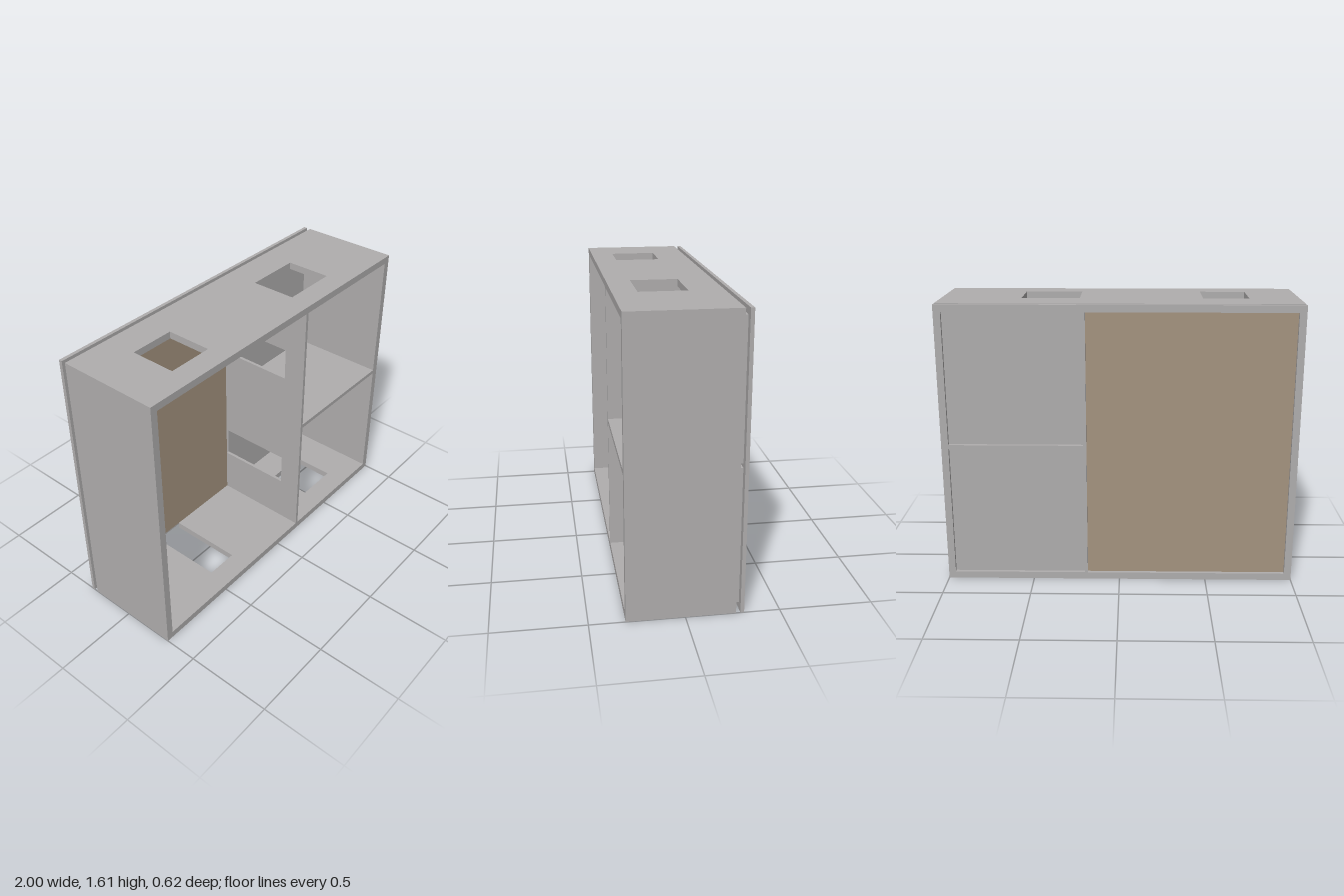
import * as THREE from 'three';

export function createModel() {
  const model = new THREE.Group();
  const grey = new THREE.MeshStandardMaterial({ color: 0xb0aeae });
  grey.name = 'grey board';
  const tan = new THREE.MeshStandardMaterial({ color: 0xa59480 });
  tan.name = 'tan board';

  // Main levels: outer size, inner opening, divider, shelf and depth layers
  const H = 1.61, IN = 0.96, Y0 = 0.04, Y1 = 1.57;
  const D0 = 0.185, D1 = 0.203, S0 = 0.796, S1 = 0.82;
  const FRONT = 0.31, BACK = -0.267, PANEL = -0.29, REAR = -0.31;
  const HOLE0 = -0.08, HOLE1 = 0.18, SLOT = 0.095;

  const add = (name, geometry, material = grey) => {
    const mesh = new THREE.Mesh(geometry, material);
    mesh.name = name;
    model.add(mesh);
  };
  const box = (name, x0, x1, y0, y1, z0, z1, material) => {
    const g = new THREE.BoxGeometry(x1 - x0, y1 - y0, z1 - z0);
    g.translate((x0 + x1) / 2, (y0 + y1) / 2, (z0 + z1) / 2);
    add(name, g, material);
  };
  const polygon = pts => new THREE.Shape(pts.map(p => new THREE.Vector2(...p)));
  const rect = (x0, x1, y0, y1) => polygon([[x0, y0], [x1, y0], [x1, y1], [x0, y1]]);
  const extrude = (shape, depth) => new THREE.ExtrudeGeometry(shape, { depth, bevelEnabled: false });

  // Top board with two hatches
  const top = rect(-1, 1, BACK, FRONT);
  top.holes.push(rect(-0.72, -0.462, HOLE0, HOLE1), rect(0.225, 0.55, HOLE0, HOLE1));
  add('topBoard', extrude(top, H - Y1).rotateX(Math.PI / 2).translate(0, H, 0));

  // Bottom board with one hatch and a slot open at the rear
  const sx = (D0 - IN) / 2;
  const bottom = polygon([
    [-1, BACK], [sx - SLOT, BACK], [sx - SLOT, HOLE1], [sx + SLOT, HOLE1],
    [sx + SLOT, BACK], [1, BACK], [1, FRONT], [-1, FRONT],
  ]);
  bottom.holes.push(rect(0.462, 0.72, HOLE0, HOLE1));
  add('bottomBoard', extrude(bottom, Y0).rotateX(Math.PI / 2).translate(0, Y0, 0));

  // Side walls
  box('rightWall', -1, -IN, Y0, Y1, BACK, FRONT);
  box('leftWall', IN, 1, Y0, Y1, BACK, FRONT);

  // Upright divider with a rear slot in each small compartment
  const outline = [[BACK, Y0]];
  for (const c of [(Y0 + S0) / 2, (S1 + Y1) / 2]) {
    outline.push([BACK, c - SLOT], [HOLE1, c - SLOT], [HOLE1, c + SLOT], [BACK, c + SLOT]);
  }
  outline.push([BACK, Y1], [FRONT, Y1], [FRONT, Y0]);
  add('divider', extrude(polygon(outline), D1 - D0).rotateY(-Math.PI / 2).translate(D1, 0, 0));

  // Shelf between the small compartments
  box('shelf', D1, IN, S0, S1, BACK, FRONT);

  // Back panels, one behind each compartment
  box('largeBackPanel', -IN, D0, Y0, Y1, PANEL, BACK, tan);
  box('upperBackPanel', D1, IN, S1, Y1, PANEL, BACK);
  box('lowerBackPanel', D1, IN, Y0, S0, PANEL, BACK);

  // Rear frame with matching openings
  const frame = rect(-1, 1, 0, H);
  frame.holes.push(rect(-IN, D0, Y0, Y1), rect(D1, IN, S1, Y1), rect(D1, IN, Y0, S0));
  add('rearFrame', extrude(frame, PANEL - REAR).translate(0, 0, REAR));

  return model;
}
